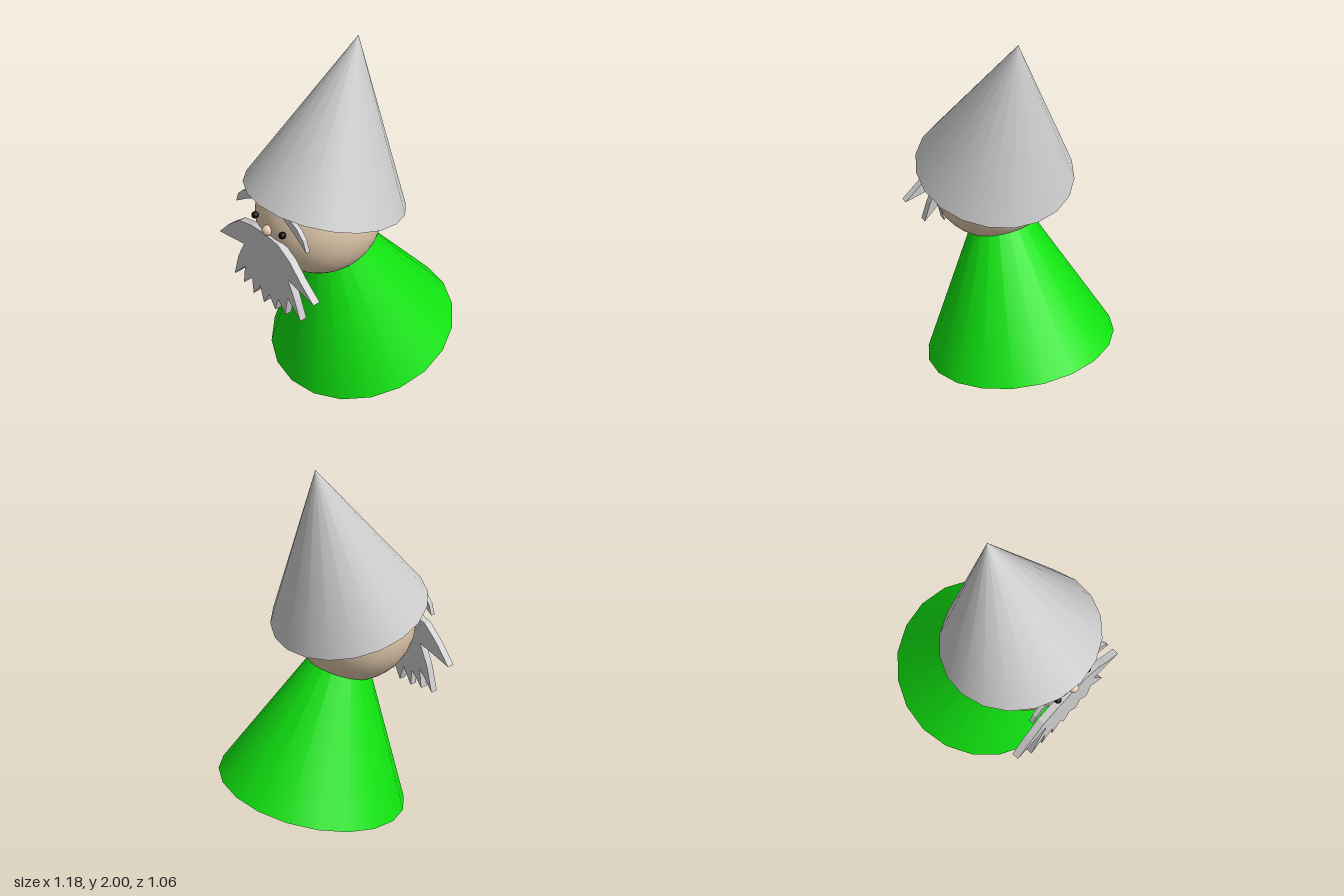
import * as THREE from 'three';

const TILT = THREE.MathUtils.degToRad(15);

export function createModel() {
  const group = new THREE.Group();
  const grey = new THREE.MeshStandardMaterial({ color: 0xcccccc });
  const green = new THREE.MeshStandardMaterial({ color: 0x10e410 });
  const skin = new THREE.MeshStandardMaterial({ color: 0xe0c8ab });
  const black = new THREE.MeshStandardMaterial({ color: 0x080808 });

  function add(name, geometry, material, x, y, z = 0) {
    const mesh = new THREE.Mesh(geometry, material);
    mesh.name = name;
    mesh.position.set(x, y, z);
    group.add(mesh);
    return mesh;
  }

  // Cone placed by its base centre and leaned about z
  function cone(name, radius, height, material, x, y, lean) {
    const geometry = new THREE.ConeGeometry(radius, height, 20).translate(0, height / 2, 0);
    add(name, geometry, material, x, y).rotation.z = lean;
  }

  // Flat plate drawn as [z, y] points, thickened towards the face side (-x)
  function plate(name, points, backX, depth) {
    const shape = new THREE.Shape(points.map(([z, y]) => new THREE.Vector2(z, y)));
    const geometry = new THREE.ExtrudeGeometry(shape, { depth, bevelEnabled: false });
    add(name, geometry, grey, backX, 0).rotation.y = -Math.PI / 2;
  }

  // Body and hat lean in opposite directions
  cone('body', 0.532, 1.083, green, 0.073, 0.14, TILT);
  cone('hat', 0.427, 0.86, grey, -0.18, 1.173, -TILT);

  // Head with the face on the -x side
  add('head', new THREE.SphereGeometry(0.33, 40, 28), skin, -0.222, 1.085);
  add('nose', new THREE.SphereGeometry(0.028, 20, 14), skin, -0.556, 1.115);

  // Jagged beard: upper edge, then spikes and valleys from one side to the other
  plate('beard', [
    [0, 1.09], [-0.12, 1.08], [-0.23, 1.05], [-0.328, 0.97],
    [-0.422, 0.868], [-0.2, 0.915],
    [-0.26, 0.8], [-0.308, 0.65], [-0.205, 0.76],
    [-0.225, 0.64], [-0.145, 0.72],
    [-0.14, 0.62], [-0.075, 0.71],
    [-0.05, 0.615], [0, 0.7],
    [0.05, 0.63], [0.08, 0.72],
    [0.135, 0.65], [0.16, 0.78],
    [0.26, 0.69], [0.22, 0.8], [0.17, 0.905],
    [0.372, 0.868], [0.27, 0.95], [0.19, 1.03], [0.1, 1.08],
  ], -0.525, 0.04);

  // Eyes and slanted eyebrows, mirrored across z
  for (const side of [-1, 1]) {
    const label = side < 0 ? 'right' : 'left';
    add(label + 'Eye', new THREE.SphereGeometry(0.019, 18, 12), black, -0.546, 1.142, side * 0.112);
    const brow = [[0.09, 1.25], [0.15, 1.265], [0.22, 1.235], [0.265, 1.19], [0.288, 1.13], [0.2, 1.19]];
    plate(label + 'Eyebrow', brow.map(([z, y]) => [side * z, y]), -0.512, 0.024);
  }

  return group;
}
